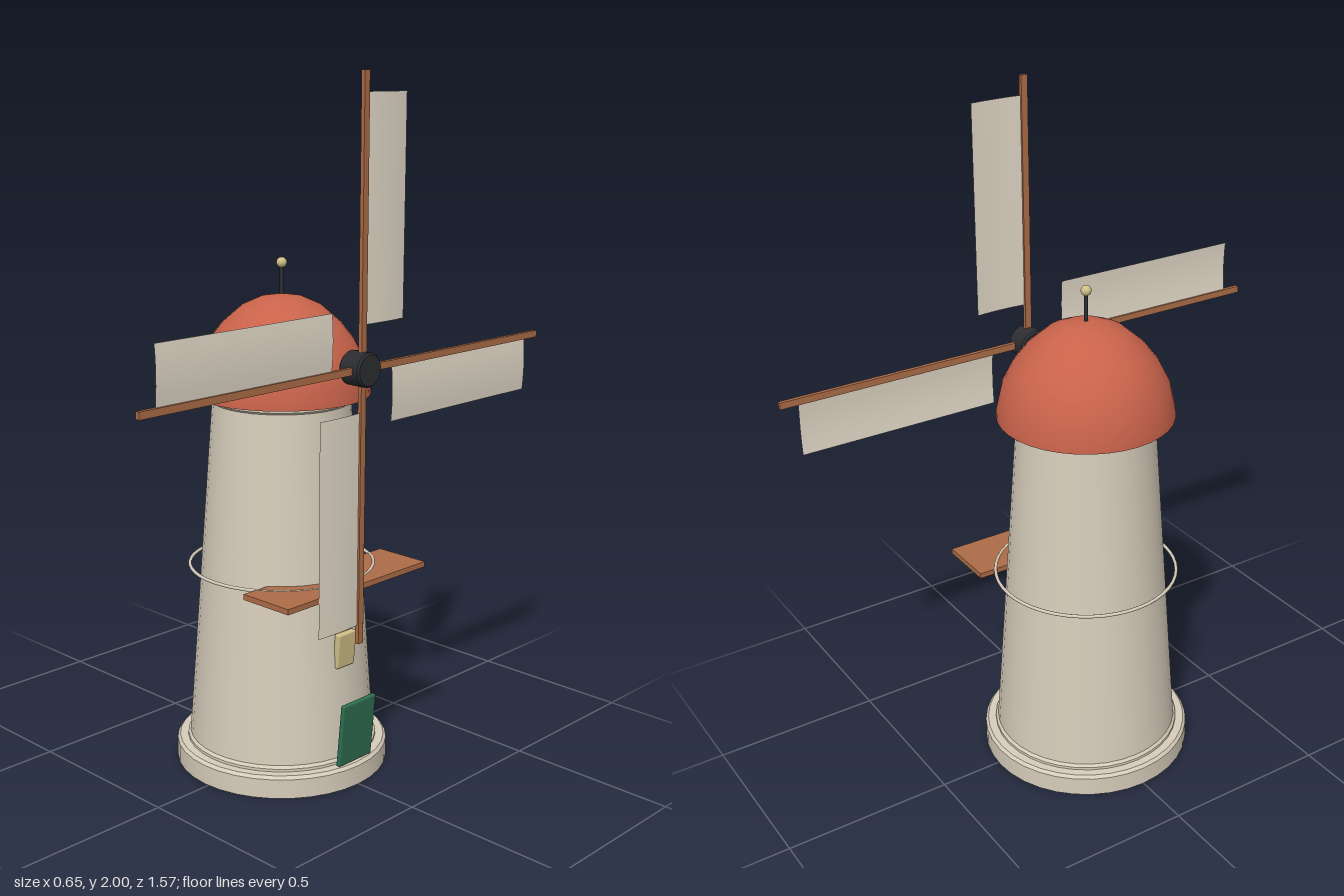
import * as THREE from 'three';
import { toCreasedNormals } from 'three/addons/utils/BufferGeometryUtils.js';
import { RoundedBoxGeometry } from 'three/addons/geometries/RoundedBoxGeometry.js';

const AXIS = -0.013; // tower axis in x
const HUB_Y = 1.215, SAIL_X = 0.294;

function material(name, color, side = THREE.FrontSide) {
  const m = new THREE.MeshStandardMaterial({ color, side });
  m.name = name;
  return m;
}

export function createModel() {
  const model = new THREE.Group();
  model.name = 'windmill';
  const plaster = material('plaster', 0xd6ccba);
  const canvas = material('canvas', 0xe2d9c8, THREE.DoubleSide);
  const tile = material('roofRed', 0xc9634b);
  const wood = material('wood', 0xad6c47);
  const iron = material('iron', 0x2b2d30);
  const green = material('doorGreen', 0x2f6f52);
  const glow = material('windowYellow', 0xd0bf88);

  function add(name, geometry, mat, x, y, z, parent = model) {
    const mesh = new THREE.Mesh(geometry, mat);
    mesh.name = name;
    mesh.position.set(x, y, z);
    parent.add(mesh);
    return mesh;
  }
  // Turned part from [radius, height] pairs, bottom to top
  function turned(name, profile, mat, crease = 0.55) {
    const points = profile.map(([r, y]) => new THREE.Vector2(r, y));
    return add(name, toCreasedNormals(new THREE.LatheGeometry(points, 36), crease), mat, AXIS, 0, 0);
  }

  // Plinth, tapered tower with a collar, domed cap
  turned('plinth', [[0, 0], [0.312, 0], [0.312, 0.057], [0.304, 0.066], [0, 0.066]], plaster);
  turned('tower', [[0.28, 0.06], [0.28, 0.074], [0.273, 0.082], [0.199, 1.085]], plaster);
  turned('collar', [[0.195, 1.08], [0.206, 1.09], [0.206, 1.115]], plaster);
  turned('cap', [[0.18, 1.106], [0.254, 1.106], [0.253, 1.125], [0.236, 1.2], [0.207, 1.257],
    [0.17, 1.305], [0.112, 1.356], [0.06, 1.379], [0, 1.389]], tile, 0.7);

  // Finial
  add('finialRod', new THREE.CylinderGeometry(0.006, 0.006, 0.09, 10), iron, AXIS, 1.425, 0);
  add('finialBall', new THREE.SphereGeometry(0.015, 16, 12), glow, AXIS, 1.476, 0);

  // Gallery ring and deck
  const ring = add('galleryRing', new THREE.TorusGeometry(0.268, 0.005, 8, 48), plaster, AXIS, 0.6, 0);
  ring.rotation.x = Math.PI / 2;
  add('galleryDeck', new THREE.BoxGeometry(0.172, 0.016, 0.566), wood, 0.207, 0.595, 0);

  // Door and windows, tipped outward at the top
  const door = add('door', new RoundedBoxGeometry(0.014, 0.19, 0.134, 2, 0.004), green, 0.286, 0.163, -0.001);
  door.rotation.z = -0.09;
  for (const [name, x, y] of [['lowerWindow', 0.239, 0.397], ['upperWindow', 0.206, 0.789]]) {
    const win = add(name, new RoundedBoxGeometry(0.02, 0.104, 0.072, 2, 0.005), glow, x, y, 0);
    win.rotation.z = -0.075;
  }

  // Hub with bevelled rims, axis along x
  const hubProfile = [[0, -0.037], [0.043, -0.037], [0.048, -0.031], [0.048, 0.031], [0.043, 0.037], [0, 0.037]];
  const hubGeometry = toCreasedNormals(
    new THREE.LatheGeometry(hubProfile.map(([r, y]) => new THREE.Vector2(r, y)), 20), 0.5);
  const hub = add('hub', hubGeometry, iron, 0.286, HUB_Y, 0);
  hub.rotation.z = -Math.PI / 2;

  // Gently bowed sail sheet
  const sailGeometry = new THREE.PlaneGeometry(0.155, 0.61, 6, 8);
  sailGeometry.rotateY(Math.PI / 2);
  const p = sailGeometry.attributes.position;
  for (let i = 0; i < p.count; i++) p.setX(i, 0.004 * (1 - (p.getZ(i) / 0.0775) ** 2));
  sailGeometry.computeVertexNormals();

  // Four arms, each a spar and a sail
  const rotor = new THREE.Group();
  rotor.name = 'rotor';
  rotor.position.set(SAIL_X, HUB_Y, 0);
  model.add(rotor);
  for (let i = 0; i < 4; i++) {
    const arm = new THREE.Group();
    arm.name = 'arm' + (i + 1);
    arm.rotation.x = i * Math.PI / 2;
    add('spar', new THREE.BoxGeometry(0.012, 0.785, 0.02), wood, 0, 0.3925, 0, arm);
    add('sail', sailGeometry, canvas, 0, 0.425, -0.0875, arm);
    rotor.add(arm);
  }
  return model;
}
